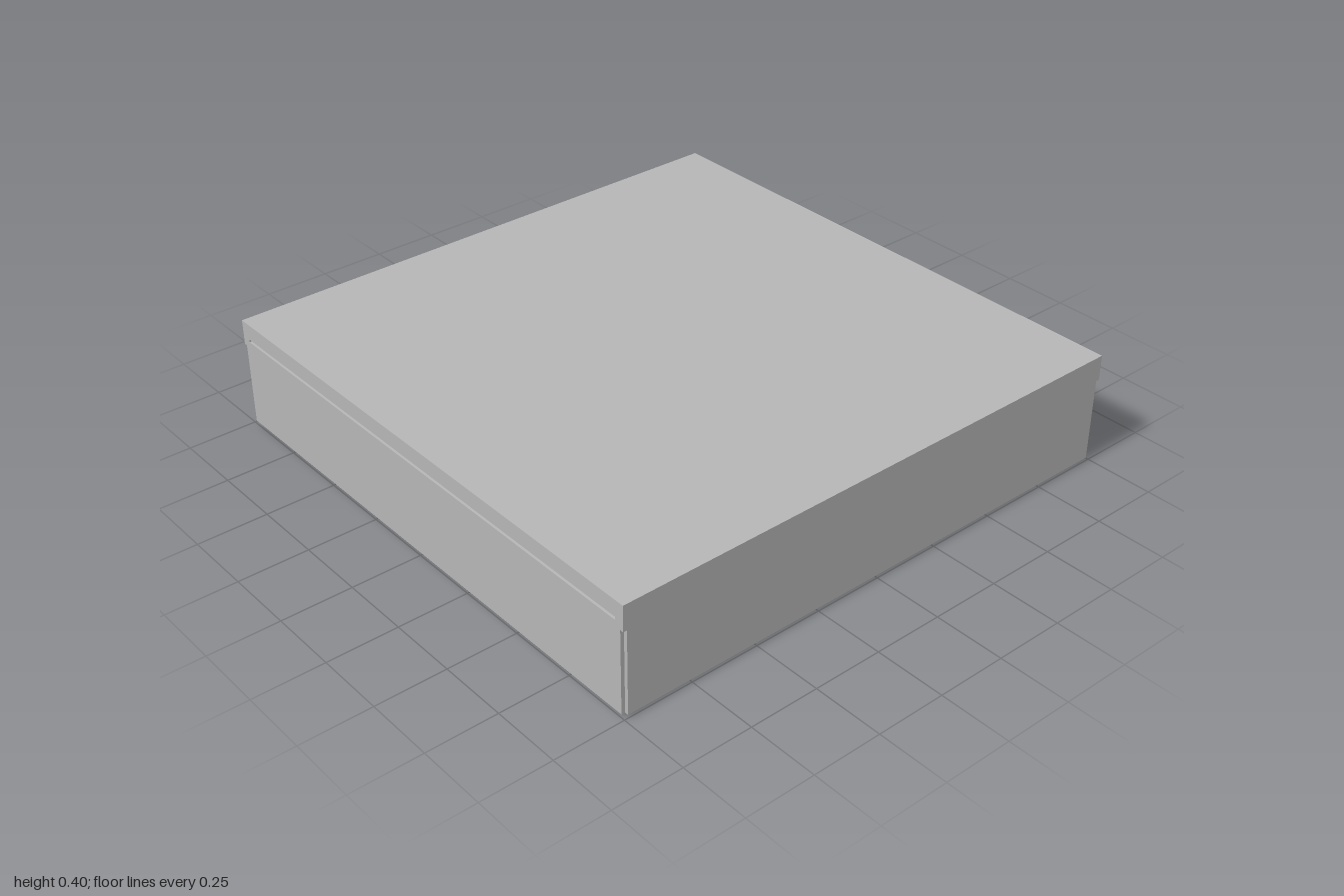
import * as THREE from 'three';

export function createModel() {
  const group = new THREE.Group();
  const grey = new THREE.MeshStandardMaterial({ color: 0xb5b5b5 });
  grey.name = 'plain grey';

  const add = (name, geometry, x = 0, y = 0, z = 0) => {
    const mesh = new THREE.Mesh(geometry, grey);
    mesh.name = name;
    mesh.position.set(x, y, z);
    group.add(mesh);
  };

  const topY = 0.403, slabY = 0.345, railY = 0.312, baseY = 0.012;
  const railIn = 0.965, wall = 0.013;

  // Table top: slab with a rail hanging under its front and back edges
  const profile = new THREE.Shape([
    [-1, railY], [-railIn, railY], [-railIn, slabY], [railIn, slabY],
    [railIn, railY], [1, railY], [1, topY], [-1, topY],
  ].map(([u, v]) => new THREE.Vector2(u, v)));
  const top = new THREE.ExtrudeGeometry(profile, { depth: 2, bevelEnabled: false });
  top.translate(0, 0, -1).rotateY(Math.PI / 2);
  add('tableTop', top);

  // Front panel, flush with the front rail; the back stays open
  const frontH = railY - baseY;
  add('frontPanel', new THREE.BoxGeometry(2 - 2 * wall, frontH, wall),
    0, baseY + frontH / 2, 1 - wall / 2);

  // Side panels stop just below the slab, leaving a slit
  const sideH = 0.334 - baseY;
  for (const side of [-1, 1]) {
    const label = side > 0 ? 'left' : 'right';
    add(label + 'Panel', new THREE.BoxGeometry(wall, sideH, 2 - 2 * wall),
      side * (1 - wall / 2), baseY + sideH / 2, 0);

    // Round legs just inside the corners
    for (const end of [-1, 1]) {
      add(label + (end > 0 ? 'Front' : 'Back') + 'Leg',
        new THREE.CylinderGeometry(0.025, 0.025, slabY, 32),
        side * 0.953, slabY / 2, end * 0.953);
    }
  }
  return group;
}
